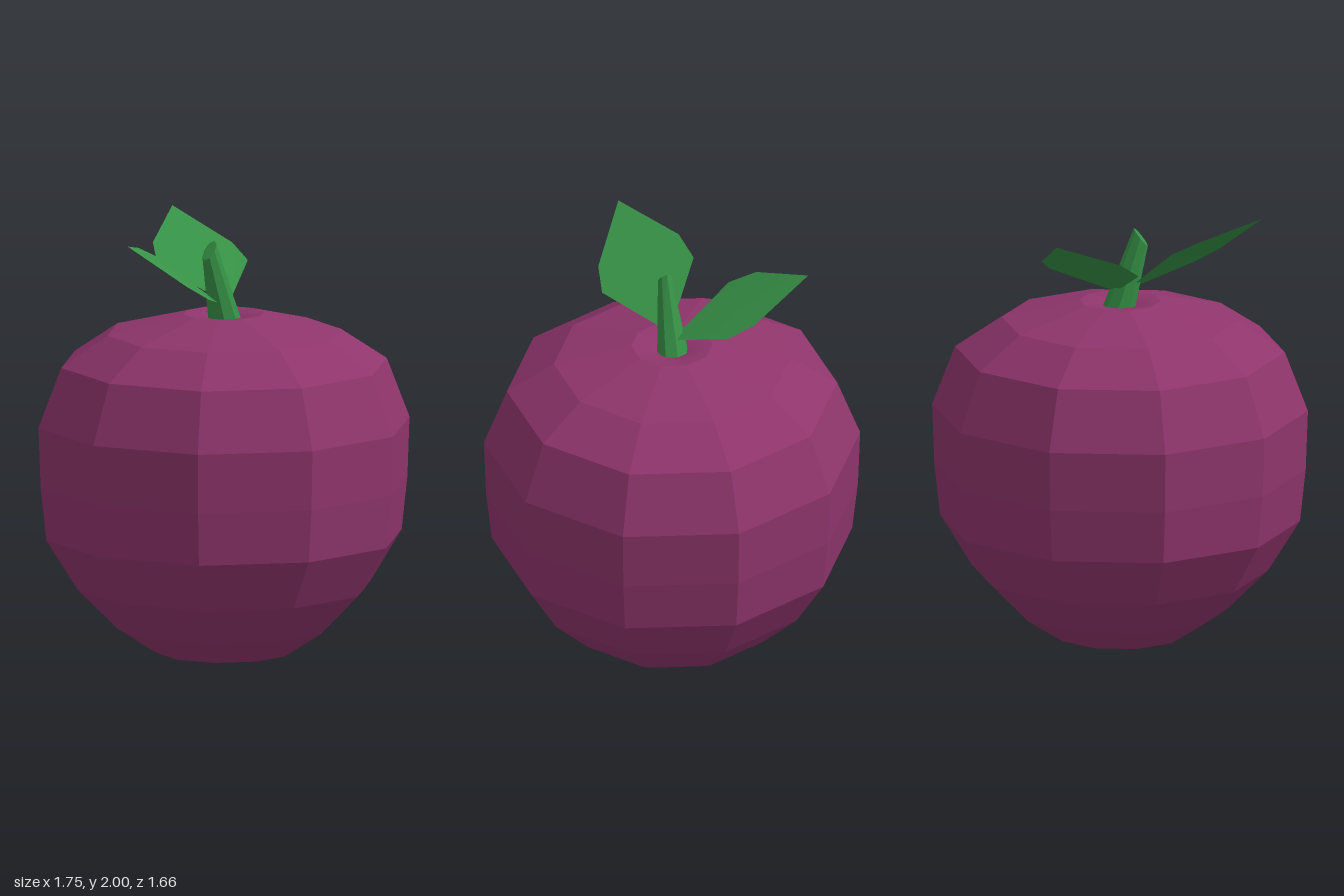
import * as THREE from 'three';

const skin = { color: 0x8f356c };
const green = { color: 0x369246 };

// Ten-sided surface of revolution with a corner on the x axis
function revolve(name, profile, flatShading) {
  const points = profile.map(([r, y]) => new THREE.Vector2(r, y));
  const mesh = new THREE.Mesh(
    new THREE.LatheGeometry(points, 10, Math.PI / 2),
    new THREE.MeshStandardMaterial({ ...skin, flatShading, side: THREE.DoubleSide })
  );
  mesh.name = name;
  return mesh;
}

// Thin leaf: a fan over its outline, starting from the stalk end
function leaf(name, outline) {
  const geometry = new THREE.BufferGeometry();
  geometry.setAttribute('position', new THREE.Float32BufferAttribute(outline.flat(), 3));
  const index = [];
  for (let i = 1; i < outline.length - 1; i++) index.push(0, i, i + 1);
  geometry.setIndex(index);
  geometry.computeVertexNormals();
  const mesh = new THREE.Mesh(
    geometry,
    new THREE.MeshStandardMaterial({ ...green, side: THREE.DoubleSide })
  );
  mesh.name = name;
  return mesh;
}

// Tapered stem leaning to -x, with a slanted cut at the top
function stem() {
  const geometry = new THREE.CylinderGeometry(0.033, 0.08, 1, 8, 2);
  const p = geometry.attributes.position;
  for (let i = 0; i < p.count; i++) {
    const v = p.getY(i) + 0.5;
    const x = p.getX(i);
    p.setXYZ(i, x + 0.015 - 0.112 * v, 1.53 + 0.372 * v + x * 1.28 * v * v, p.getZ(i));
  }
  geometry.computeVertexNormals();
  const mesh = new THREE.Mesh(
    geometry,
    new THREE.MeshStandardMaterial({ ...green, flatShading: true })
  );
  mesh.name = 'stem';
  return mesh;
}

export function createModel() {
  const model = new THREE.Group();
  model.name = 'fruit';

  // Faceted body with a shallow hollow at each end
  model.add(revolve('body', [
    [0.315, 0], [0.5, 0.12], [0.69, 0.31], [0.838, 0.55], [0.865, 0.8],
    [0.875, 1.08], [0.768, 1.36], [0.55, 1.505], [0.19, 1.595],
  ], true));
  model.add(revolve('topHollow', [[0.19, 1.595], [0.09, 1.58], [0, 1.52]], false));
  model.add(revolve('bottomHollow', [[0, 0.06], [0.315, 0]], false));

  model.add(stem());

  // Leaves
  model.add(leaf('rightLeaf', [
    [-0.03, 1.645, 0], [-0.335, 1.73, 0.22], [-0.45, 1.8, 0.195],
    [-0.66, 1.995, 0.015], [-0.385, 1.93, -0.18], [-0.255, 1.875, -0.205],
  ].reverse()));
  model.add(leaf('leftLeaf', [
    [0.02, 1.635, 0.01], [0.32, 1.785, -0.155], [0.345, 1.85, -0.28],
    [0.255, 2, -0.58], [-0.03, 1.88, -0.43], [-0.11, 1.8, -0.325],
  ]));

  return model;
}
